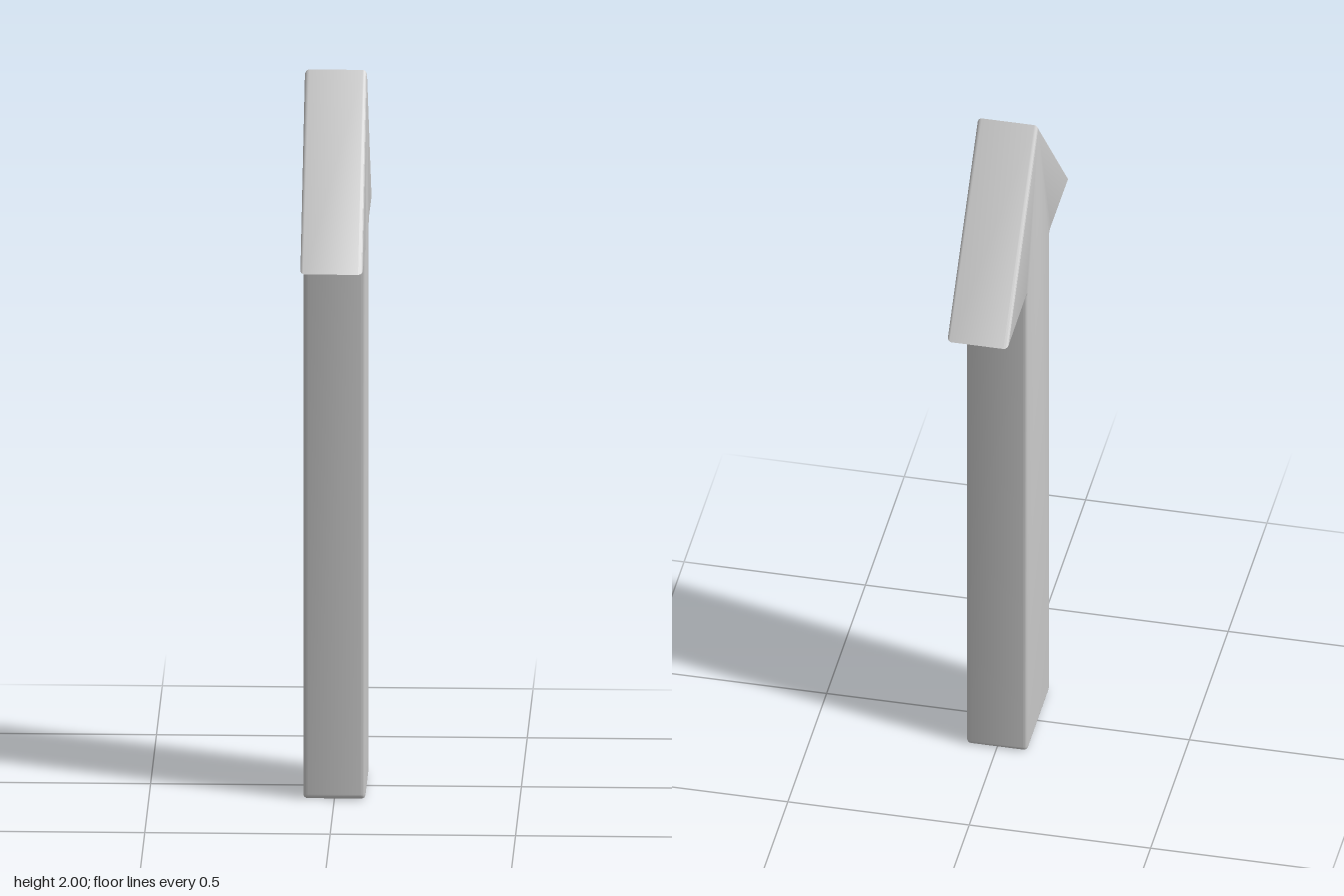
import * as THREE from 'three';
import { toCreasedNormals } from 'three/addons/utils/BufferGeometryUtils.js';

const THICKNESS = 0.168, BEVEL = 0.012, FILLET = 0.014;
const SHAFT = 0.145, WING = 0.395, NECK = 1.535, TOP = 2;

// Arrow outline: pointed head, straight shaft with softened corners
function arrowShape() {
  const s = new THREE.Shape();
  s.moveTo(-SHAFT + FILLET, 0);
  s.lineTo(SHAFT - FILLET, 0);
  s.quadraticCurveTo(SHAFT, 0, SHAFT, FILLET);
  s.lineTo(SHAFT, NECK - FILLET);
  s.quadraticCurveTo(SHAFT, NECK, SHAFT + FILLET, NECK);
  s.lineTo(WING, NECK);
  s.lineTo(0, TOP);
  s.lineTo(-WING, NECK);
  s.lineTo(-SHAFT - FILLET, NECK);
  s.quadraticCurveTo(-SHAFT, NECK, -SHAFT, NECK - FILLET);
  s.lineTo(-SHAFT, FILLET);
  s.quadraticCurveTo(-SHAFT, 0, -SHAFT + FILLET, 0);
  return s;
}

export function createModel() {
  const group = new THREE.Group();
  group.name = 'upArrow';

  // Solid plate with rounded edges, its broad faces turned to the sides
  const geometry = new THREE.ExtrudeGeometry(arrowShape(), {
    depth: THICKNESS - 2 * BEVEL,
    bevelThickness: BEVEL,
    bevelSize: BEVEL,
    bevelOffset: -BEVEL,
    bevelSegments: 4,
    curveSegments: 4,
  });
  geometry.translate(0, 0, BEVEL - THICKNESS / 2);
  geometry.rotateY(Math.PI / 2);

  const arrow = new THREE.Mesh(
    toCreasedNormals(geometry, 0.5),
    new THREE.MeshStandardMaterial({ color: 0xcccccc })
  );
  arrow.name = 'arrow';
  group.add(arrow);

  // Centre the plate and stand it on the ground
  const box = new THREE.Box3().setFromObject(arrow);
  const centre = box.getCenter(new THREE.Vector3());
  arrow.position.set(-centre.x, -box.min.y, -centre.z);
  return group;
}
